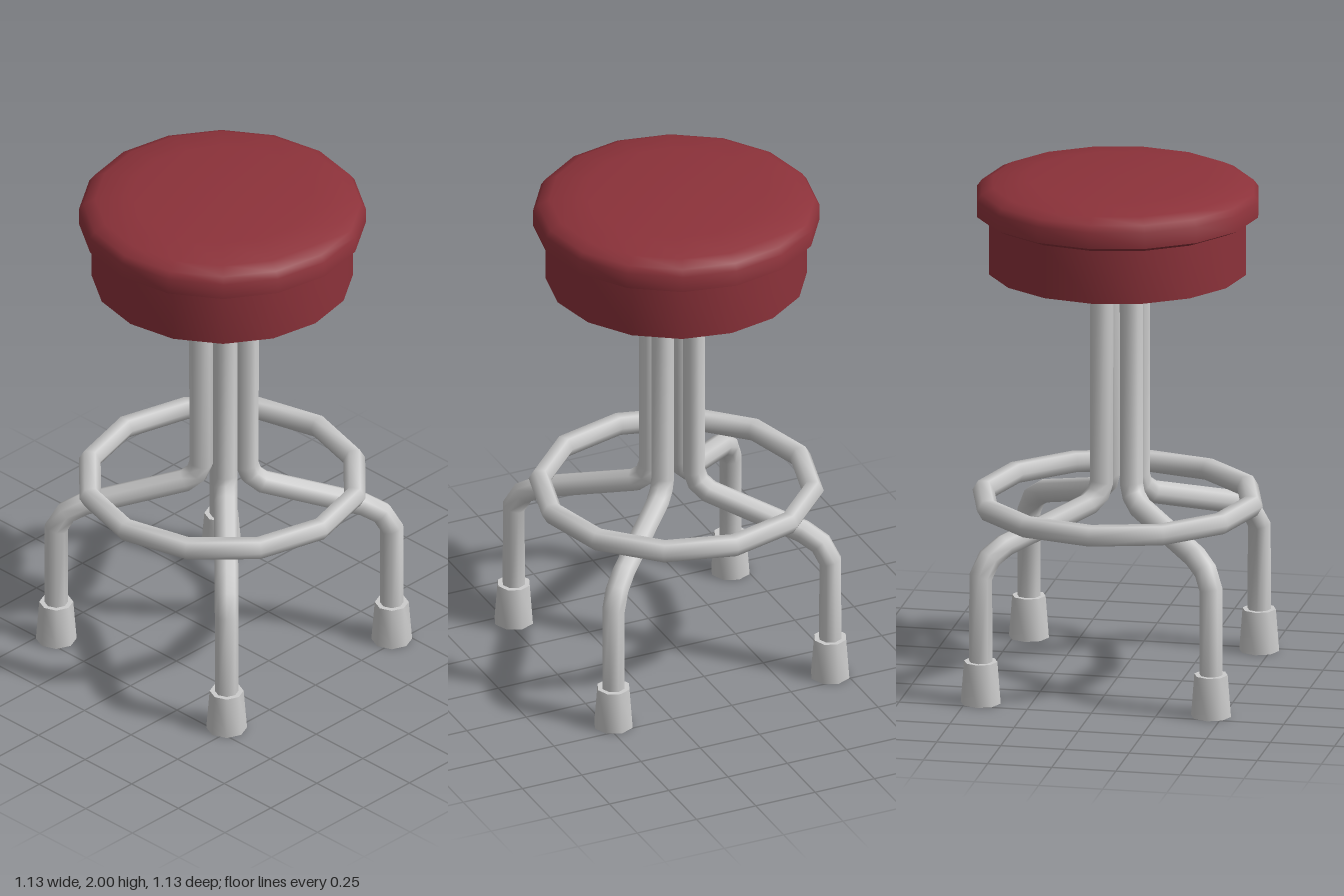
import * as THREE from 'three';
import { toCreasedNormals } from 'three/addons/utils/BufferGeometryUtils.js';

const red = new THREE.MeshStandardMaterial({ color: 0x8c323a });
const grey = new THREE.MeshStandardMaterial({ color: 0xcccccc, side: THREE.DoubleSide });

// Revolved part that keeps sharp corners crisp
function lathe(name, profile, sides, material) {
  const points = profile.map(([r, y]) => new THREE.Vector2(r, y));
  const geometry = toCreasedNormals(new THREE.LatheGeometry(points, sides), Math.PI / 3);
  const mesh = new THREE.Mesh(geometry, material);
  mesh.name = name;
  return mesh;
}

// Tube with one ring exactly at each path point, mitred at the bends
function pipe(name, points, radius, sides) {
  const last = points.length - 1;
  const curve = new THREE.Curve();
  curve.getPointAt = (t, target = new THREE.Vector3()) => target.copy(points[Math.round(t * last)]);
  curve.getTangentAt = (t, target = new THREE.Vector3()) => {
    const i = Math.round(t * last);
    target.set(0, 0, 0);
    if (i > 0) target.add(points[i].clone().sub(points[i - 1]).normalize());
    if (i < last) target.add(points[i + 1].clone().sub(points[i]).normalize());
    return target.normalize();
  };
  const mesh = new THREE.Mesh(new THREE.TubeGeometry(curve, last, radius, sides), grey);
  mesh.name = name;
  return mesh;
}

export function createModel() {
  const stool = new THREE.Group();
  stool.name = 'stool';

  // Padded seat with an overhanging lip and a hollow skirt below
  stool.add(lathe('seat', [
    [0, 1.86], [0.447, 1.86], [0.447, 1.63], [0.5, 1.63], [0.5, 1.84],
    [0.548, 1.862], [0.548, 1.925], [0.53, 1.95], [0.485, 1.972], [0.35, 1.99], [0, 2],
  ], 16, red));

  // Foot ring
  const ring = new THREE.Mesh(new THREE.TorusGeometry(0.523, 0.043, 6, 12), grey);
  ring.name = 'footRing';
  ring.rotation.x = Math.PI / 2;
  ring.position.y = 0.713;
  stool.add(ring);

  // Four bent legs, sitting slightly off the seat axis
  const legs = new THREE.Group();
  legs.name = 'legs';
  legs.position.set(-0.006, 0, 0.015);
  // [share of the way from post to foot, height]
  const path = [
    [0, 1.86], [0, 0.79], [0.03, 0.745], [0.11, 0.71],
    [0.8, 0.607], [0.93, 0.567], [1, 0.5], [1, 0.14],
  ];
  for (const sx of [1, -1]) {
    for (const sz of [1, -1]) {
      const points = path.map(([s, y]) => new THREE.Vector3(
        sx * THREE.MathUtils.lerp(0.058, 0.449, s), y,
        sz * THREE.MathUtils.lerp(0.066, 0.457, s)));
      const side = (sz > 0 ? 'front' : 'back') + (sx > 0 ? 'Left' : 'Right');
      legs.add(pipe(side + 'Leg', points, 0.0455, 8));

      // Flared foot cap, open underneath
      const foot = lathe(side + 'Foot', [[0.078, 0], [0.065, 0.165], [0.03, 0.165]], 8, grey);
      foot.position.set(sx * 0.449, 0, sz * 0.457);
      legs.add(foot);
    }
  }
  stool.add(legs);
  return stool;
}
